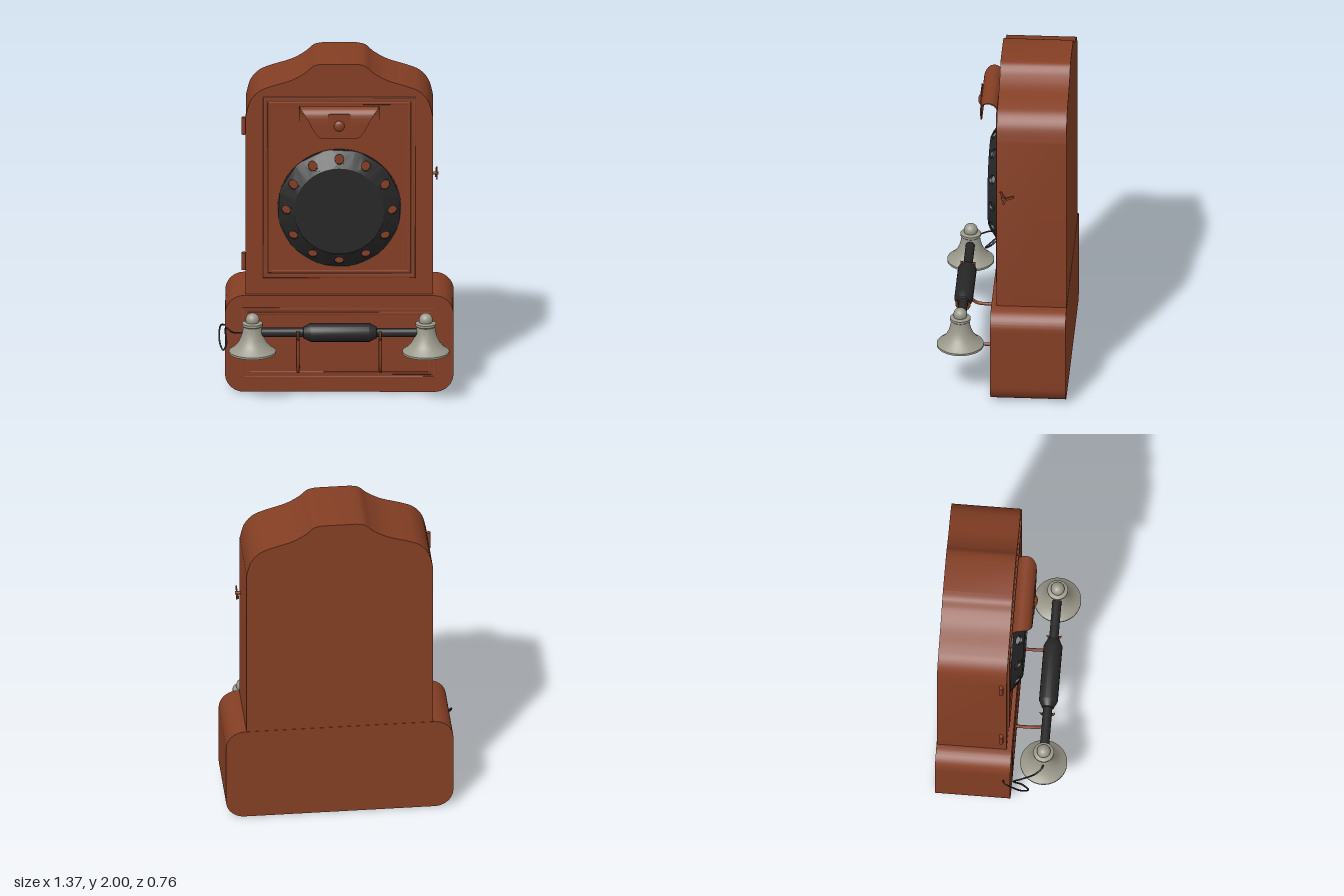
import * as THREE from 'three';
import { toCreasedNormals } from 'three/addons/utils/BufferGeometryUtils.js';

const CX = 0.015; // axis of the cabinet
const wood = new THREE.MeshStandardMaterial({ color: 0x843e24 });
wood.name = 'redBrownWood';
const black = new THREE.MeshStandardMaterial({ color: 0x262626 });
black.name = 'blackEnamel';
const metal = new THREE.MeshStandardMaterial({ color: 0x9a988a, side: THREE.DoubleSide });
metal.name = 'greyMetal';

const V = (x, y, z) => new THREE.Vector3(x, y, z);
const V2 = (x, y) => new THREE.Vector2(x, y);

function add(parent, name, geometry, material, x = 0, y = 0, z = 0) {
  const mesh = new THREE.Mesh(geometry, material);
  mesh.name = name;
  mesh.position.set(x, y, z);
  parent.add(mesh);
  return mesh;
}

function extrude(shape, depth, options = {}) {
  const g = new THREE.ExtrudeGeometry(shape, { depth, bevelEnabled: false, curveSegments: 12, ...options });
  return toCreasedNormals(g, 0.6);
}

function tube(points, radius, segments = 48) {
  return new THREE.TubeGeometry(new THREE.CatmullRomCurve3(points), segments, radius, 8);
}

function roundedRect(w, h, r) {
  const s = new THREE.Shape();
  s.absarc(w - r, h - r, r, 0, Math.PI / 2);
  s.absarc(-w + r, h - r, r, Math.PI / 2, Math.PI);
  s.absarc(-w + r, -h + r, r, Math.PI, Math.PI * 1.5);
  s.absarc(w - r, -h + r, r, Math.PI * 1.5, Math.PI * 2);
  s.closePath();
  return s;
}

// Rectangular moulding made of a thin bevelled strip
function bead(w, h, width, height) {
  const rect = (a, b) => [V2(-a, -b), V2(a, -b), V2(a, b), V2(-a, b)];
  const s = new THREE.Shape(rect(w - 0.005, h - 0.005));
  s.holes.push(new THREE.Path(rect(w - width + 0.005, h - width + 0.005)));
  return extrude(s, height / 2, { bevelEnabled: true, bevelThickness: height / 2, bevelSize: 0.005, bevelSegments: 3 });
}

// Cabinet: arched upper box and rounded base
function addCabinet(root) {
  const half = [[0.545, 1.68], [0.52, 1.77], [0.47, 1.83], [0.4, 1.862], [0.28, 1.9], [0.2, 1.945], [0.15, 1.988], [0.1, 2]];
  const s = new THREE.Shape();
  s.moveTo(-0.545, 0.3);
  s.lineTo(0.545, 0.3);
  s.lineTo(0.545, 1.68);
  s.splineThru(half.slice(1).map(([x, y]) => V2(x, y)));
  s.lineTo(-0.1, 2);
  s.splineThru(half.slice(0, -1).reverse().map(([x, y]) => V2(-x, y)));
  s.closePath();
  add(root, 'upperCabinet', extrude(s, 0.408, { curveSegments: 5 }), wood, CX, 0, -0.378);
  add(root, 'baseCabinet', extrude(roundedRect(0.665, 0.295, 0.11), 0.44), wood, CX, 0.295, -0.38);

  add(root, 'upperMouldingOuter', bead(0.445, 0.555, 0.03, 0.012), wood, CX, 1.245, 0.028);
  add(root, 'upperMouldingInner', bead(0.415, 0.525, 0.018, 0.006), wood, CX, 1.245, 0.028);
  add(root, 'baseMouldingOuter', bead(0.565, 0.217, 0.016, 0.005), wood, CX, 0.298, 0.059);
  add(root, 'baseMouldingInner', bead(0.535, 0.19, 0.016, 0.005), wood, CX, 0.298, 0.059);

  for (const y of [0.782, 1.612])
    add(root, 'hinge', new THREE.CylinderGeometry(0.013, 0.013, 0.105, 12), wood, -0.542, y, -0.002);
}

// Sloped dial ring with twelve finger holes around a sunken disc
function addDial(root) {
  const dial = new THREE.Group();
  dial.name = 'dial';
  dial.position.set(CX, 1.12, 0);
  root.add(dial);
  const a = Math.PI / 12;
  const s = new THREE.Shape();
  s.absarc(0, 0, 0.36, -a, a, false);
  s.absarc(0, 0, 0.262, a, -a, true);
  s.closePath();
  const hole = new THREE.Path();
  hole.absarc(0.31, 0, 0.026, 0, Math.PI * 2, true);
  s.holes.push(hole);
  const sector = new THREE.ExtrudeGeometry(s, { depth: 0.015, bevelEnabled: false, curveSegments: 10 });
  const p = sector.attributes.position;
  for (let i = 0; i < p.count; i++) {
    const r = Math.hypot(p.getX(i), p.getY(i));
    p.setZ(i, p.getZ(i) + 0.022 + 0.063 * Math.min(1, (0.36 - r) / 0.09));
  }
  sector.computeVertexNormals();
  const smooth = toCreasedNormals(sector, 0.5);
  for (let i = 0; i < 12; i++)
    add(dial, 'dialRingSector', smooth, black).rotation.z = i * Math.PI / 6;
  add(dial, 'dialDisc', new THREE.CylinderGeometry(0.263, 0.263, 0.065, 64), black, 0, 0, 0.061).rotation.x = Math.PI / 2;
}

// Bent plate that curls forward from the panel, with a square boss and a knob
function addTopBracket(root) {
  const path = new THREE.CatmullRomCurve3([
    V(0.034, 1.64, 0), V(0.037, 1.7, 0), V(0.055, 1.742, 0), V(0.085, 1.758, 0), V(0.117, 1.75, 0),
    V(0.137, 1.725, 0), V(0.143, 1.69, 0), V(0.144, 1.63, 0), V(0.144, 1.58, 0)]);
  const n = 40, outer = [], inner = [];
  for (let i = 0; i <= n; i++) {
    const c = path.getPoint(i / n), t = path.getTangent(i / n);
    outer.push(V2(c.x - t.y * 0.004, c.y + t.x * 0.004));
    inner.unshift(V2(c.x + t.y * 0.004, c.y - t.x * 0.004));
  }
  const g = new THREE.ExtrudeGeometry(new THREE.Shape([...outer, ...inner]), { depth: 1, bevelEnabled: false });
  g.translate(0, 0, -0.5);
  g.rotateY(-Math.PI / 2); // profile x becomes z
  // Width narrows down the front leaf
  const widths = [[1.58, 0.1], [1.59, 0.12], [1.62, 0.145], [1.685, 0.178], [1.73, 0.205], [1.765, 0.235]];
  const p = g.attributes.position;
  for (let i = 0; i < p.count; i++) {
    let w = 0.235;
    if (p.getZ(i) > 0.09) {
      const y = THREE.MathUtils.clamp(p.getY(i), 1.58, 1.765);
      const k = Math.max(1, widths.findIndex(e => e[0] >= y));
      w = THREE.MathUtils.mapLinear(y, widths[k - 1][0], widths[k][0], widths[k - 1][1], widths[k][1]);
    }
    p.setX(i, p.getX(i) * 2 * w);
  }
  g.computeVertexNormals();
  add(root, 'topBracket', toCreasedNormals(g, 0.6), wood, CX);
  add(root, 'bracketBoss', extrude(roundedRect(0.066, 0.073, 0.015), 0.006), wood, CX, 1.66, 0.146);
  const knob = add(root, 'bracketKnob', new THREE.SphereGeometry(0.032, 20, 12), wood, CX, 1.66, 0.152);
  knob.scale.z = 0.5;
}

// Handset bar with thick grip, bell at each end, on two cradle hooks
function addHandset(root) {
  const y = 0.425, z = 0.243;
  const bar = [[0, -0.47], [0.027, -0.47], [0.027, -0.215], [0.035, -0.212], [0.055, -0.17],
    [0.055, 0.17], [0.035, 0.212], [0.027, 0.215], [0.027, 0.47], [0, 0.47]];
  const barGeo = toCreasedNormals(new THREE.LatheGeometry(bar.map(q => V2(...q)), 20), 0.5);
  add(root, 'handsetBar', barGeo, black, 0.02, y, z).rotation.z = -Math.PI / 2;

  const bell = [[0, 0.455], [0.035, 0.43], [0.055, 0.38], [0.09, 0.335], [0.125, 0.302], [0.137, 0.3], [0.137, 0.312],
    [0.11, 0.332], [0.085, 0.36], [0.068, 0.395], [0.058, 0.43], [0.053, 0.462], [0.06, 0.468], [0.06, 0.482],
    [0.045, 0.488], [0, 0.488]];
  const bellGeo = toCreasedNormals(new THREE.LatheGeometry(bell.map(q => V2(...q)), 40), 0.6);
  for (const x of [-0.49, 0.52]) {
    add(root, 'bell', bellGeo, metal, x, 0, z);
    add(root, 'bellBall', new THREE.SphereGeometry(0.04, 24, 16), metal, x, 0.503, z);
  }

  const stem = tube([V(0, 0.16, 0.05), V(0, 0.16, 0.12), V(0, 0.168, 0.19), V(0, 0.2, 0.228),
    V(0, 0.26, 0.243), V(0, 0.32, z), V(0, 0.39, z)], 0.01);
  const fork = tube([V(0, 0.44, z - 0.036), V(0, 0.415, z - 0.036), V(0, 0.39, z - 0.02), V(0, 0.386, z),
    V(0, 0.39, z + 0.02), V(0, 0.415, z + 0.036), V(0, 0.445, z + 0.036)], 0.008, 24);
  for (const x of [-0.225, 0.255]) {
    add(root, 'hookStem', stem, wood, x);
    add(root, 'hookFork', fork, wood, x);
  }

  const cord = [V(-0.53, 0.425, 0.245), V(-0.565, 0.42, 0.24), V(-0.605, 0.41, 0.2), V(-0.64, 0.413, 0.13),
    V(-0.65, 0.385, 0.08), V(-0.642, 0.32, 0.13), V(-0.66, 0.29, 0.168), V(-0.68, 0.32, 0.13),
    V(-0.682, 0.385, 0.06), V(-0.67, 0.4, 0.025), V(-0.63, 0.39, 0.02)];
  add(root, 'cord', tube(cord, 0.005, 90), black);
}

// Small winged catch on the side of the cabinet
function addCatch(root) {
  const g = new THREE.Group();
  g.name = 'sideCatch';
  g.position.set(0.572, 1.32, -0.01);
  root.add(g);
  add(g, 'catchPin', new THREE.CylinderGeometry(0.01, 0.01, 0.04, 10), wood).rotation.z = Math.PI / 2;
  add(g, 'catchArm', new THREE.BoxGeometry(0.008, 0.014, 0.07), wood, 0.006, -0.005, -0.03).rotation.x = 0.35;
  for (const s of [-1, 1])
    add(g, 'catchWing', new THREE.BoxGeometry(0.008, 0.04, 0.012), wood, 0.01, s * 0.022, s * 0.008).rotation.x = s * 0.3;
}

export function createModel() {
  const root = new THREE.Group();
  root.name = 'wallTelephone';
  addCabinet(root);
  addDial(root);
  addTopBracket(root);
  addHandset(root);
  addCatch(root);
  return root;
}
